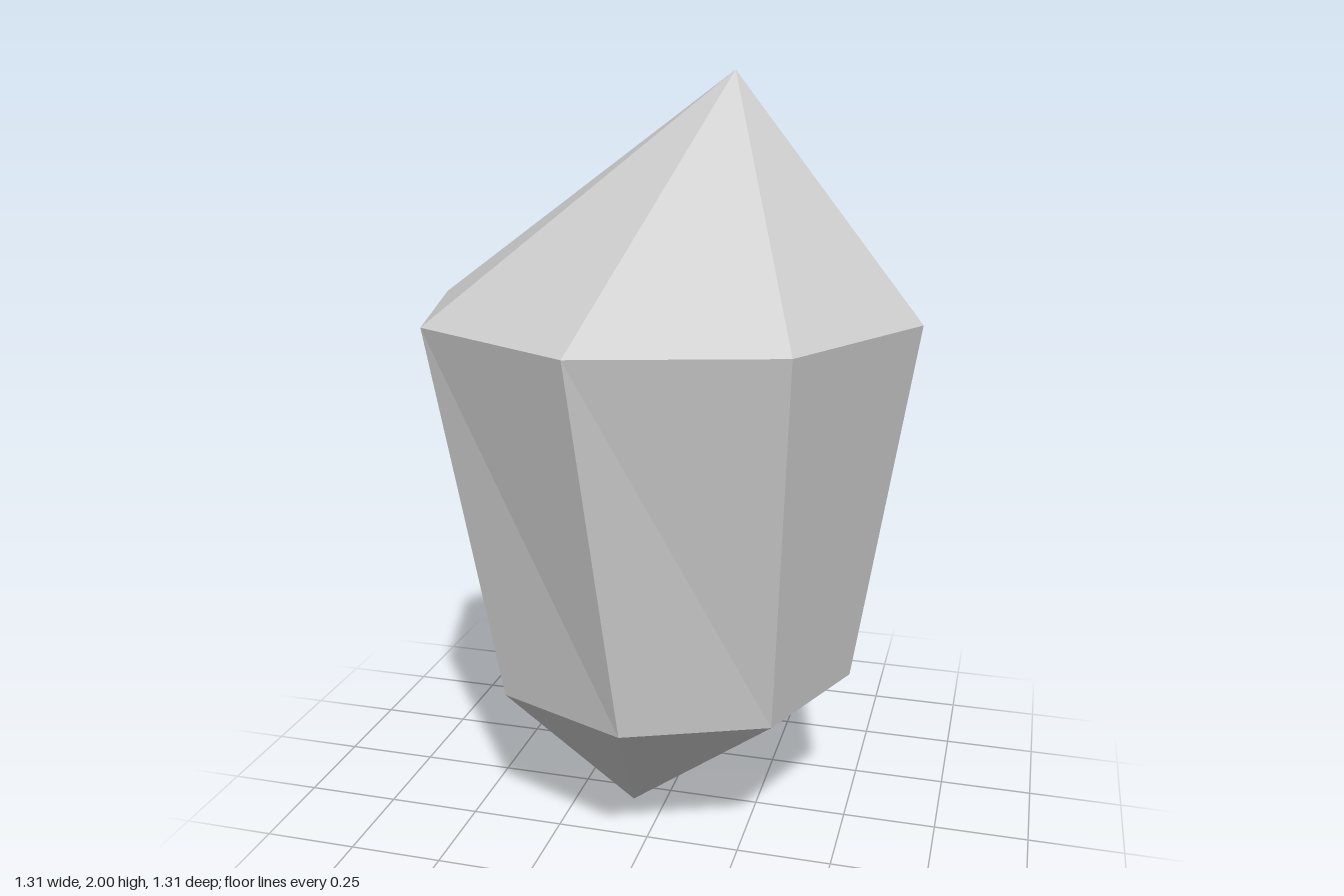
import * as THREE from 'three';

const SIDES = 8;

// Octagonal ring, starting at the front and turning towards +x
function ring(radius, y, turn) {
  return Array.from({ length: SIDES }, (_, i) => {
    const a = (i / SIDES) * Math.PI * 2 + turn;
    return new THREE.Vector3(radius * Math.sin(a), y, radius * Math.cos(a));
  });
}

// Faceted band between two rings; a ring of one point makes a tip
function facets(name, lower, upper, material) {
  const at = (r, i) => r[i % r.length];
  const points = [];
  for (let i = 0; i < SIDES; i++) {
    if (lower.length > 1) points.push(at(upper, i), at(lower, i), at(lower, i + 1));
    if (upper.length > 1) points.push(at(upper, i), at(lower, i + 1), at(upper, i + 1));
  }
  const geometry = new THREE.BufferGeometry().setFromPoints(points);
  geometry.computeVertexNormals();
  const mesh = new THREE.Mesh(geometry, material);
  mesh.name = name;
  return mesh;
}

export function createModel() {
  const stone = new THREE.MeshStandardMaterial({ color: 0xcccccc });
  stone.name = 'pale grey crystal';
  stone.flatShading = true;

  const waist = ring(0.5, 0.43, 0);
  const shoulder = ring(0.657, 1.41, -0.111); // slightly twisted
  const bottomTip = [new THREE.Vector3(-0.09, 0, 0.07)];
  const topTip = [new THREE.Vector3(0.145, 2, -0.085)];

  const crystal = new THREE.Group();
  crystal.name = 'crystal';
  crystal.add(
    facets('lowerPoint', bottomTip, waist, stone),
    facets('body', waist, shoulder, stone),
    facets('upperPoint', shoulder, topTip, stone),
  );
  return crystal;
}
